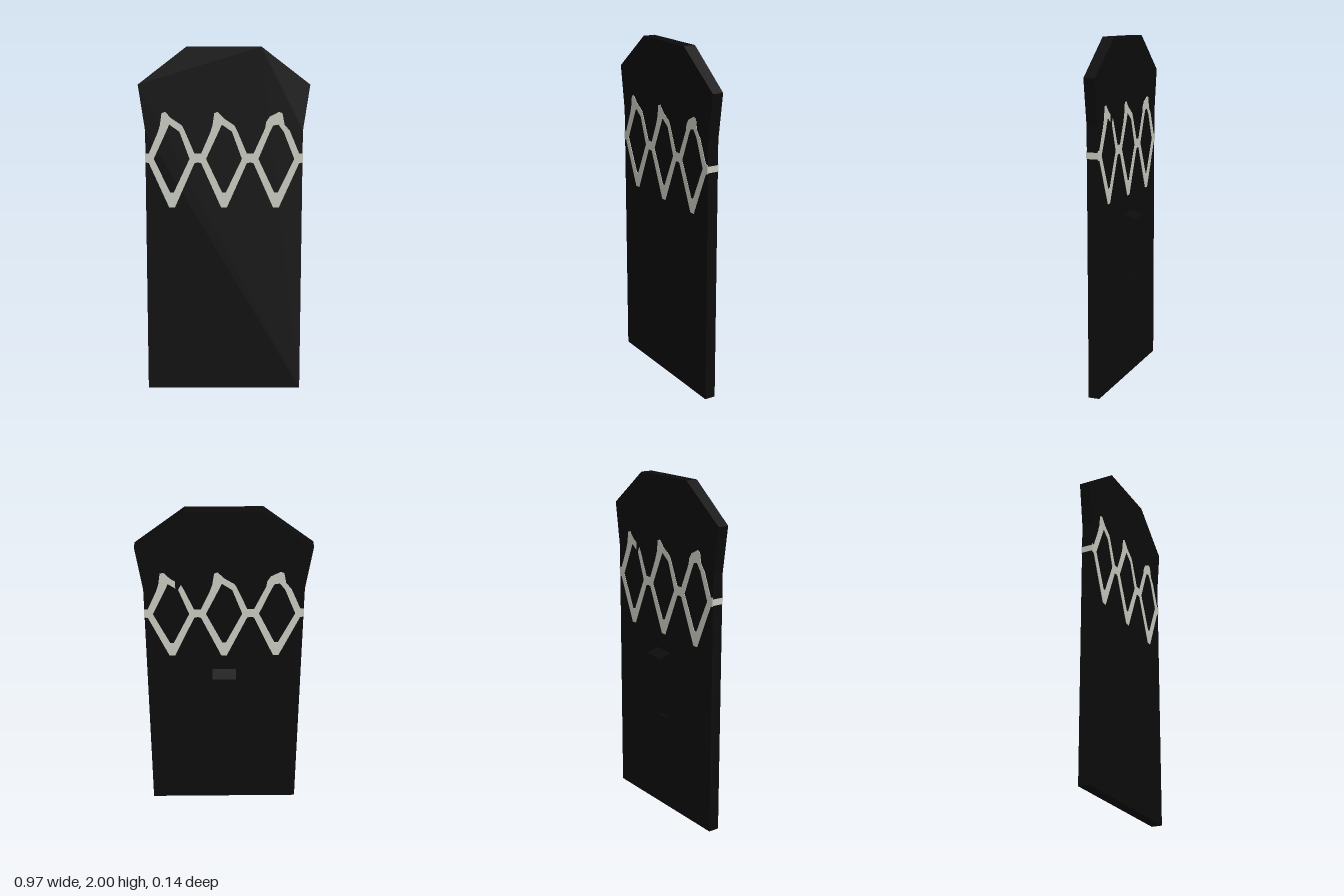
import * as THREE from 'three';

const black = new THREE.MeshStandardMaterial({ color: 0x0c0c0c });
black.name = 'black';
const blackOpen = black.clone();
blackOpen.side = THREE.DoubleSide;
const bone = new THREE.MeshStandardMaterial({ color: 0xc8cbc0 });
bone.name = 'bone';

const BACK = 0, FRONT = 0.064, PLATE = 0.003;
const points = (list) => list.map(([x, y]) => new THREE.Vector2(x, y));

function add(parent, name, geometry, material) {
  const mesh = new THREE.Mesh(geometry, material);
  mesh.name = name;
  parent.add(mesh);
  return mesh;
}

// Flat slab with flared shoulders, slightly thicker along the top edge
function slabGeometry() {
  const half = [[0.447, 0], [0.447, 1.53], [0.485, 1.79], [0.21, 2]];
  const outline = [...half, ...half.map(([x, y]) => [-x, y]).reverse()];
  const geo = new THREE.ExtrudeGeometry(new THREE.Shape(points(outline)),
    { depth: FRONT - BACK, bevelEnabled: false });
  const pos = geo.attributes.position;
  for (let i = 0; i < pos.count; i++) {
    if (pos.getY(i) > 1.9) pos.setZ(i, pos.getZ(i) > 0.03 ? FRONT + 0.003 : BACK - 0.004);
  }
  geo.computeVertexNormals();
  return geo;
}

// One open diamond of the painted band; the crown is its irregular upper edge
function diamondGeometry(crown, holeCrown) {
  const shape = new THREE.Shape(points([
    [-0.15, 1.35], [-0.13, 1.345], [-0.016, 1.088], [0.016, 1.088], [0.13, 1.345], [0.15, 1.35],
    [0.15, 1.4], [0.13, 1.4], ...crown, [-0.13, 1.4], [-0.15, 1.4],
  ]));
  shape.holes.push(new THREE.Path(points([
    [-0.102, 1.37], ...holeCrown, [0.102, 1.37], [0.01, 1.175], [-0.01, 1.175],
  ])));
  return new THREE.ExtrudeGeometry(shape, { depth: PLATE, bevelEnabled: false });
}

// Three diamonds, built facing +z
function diamondBand() {
  const band = new THREE.Group();
  const pointed = [
    [[0.075, 1.53], [0.06, 1.56], [0, 1.6], [-0.035, 1.637], [-0.055, 1.63], [-0.065, 1.56], [-0.08, 1.515]],
    [[-0.03, 1.525], [-0.012, 1.565], [0.045, 1.525]],
  ];
  const blunt = [
    [[0.075, 1.53], [0.045, 1.565], [0.032, 1.63], [0.012, 1.637], [-0.04, 1.61], [-0.06, 1.58], [-0.065, 1.545]],
    [[-0.035, 1.53], [-0.02, 1.56], [0.01, 1.565], [0.04, 1.525]],
  ];
  [[-0.298, pointed], [0, pointed], [0.298, blunt]].forEach(([x, [crown, hole]]) => {
    add(band, 'diamond', diamondGeometry(crown, hole), bone).position.x = x;
  });
  return band;
}

// Open-sided strap grip: a strip of three faces standing off the back
function gripGeometry() {
  const w = 0.069;
  const profile = [[0.99, 0], [0.965, -0.07], [0.615, -0.07], [0.59, 0]];
  const verts = [];
  for (let i = 0; i < 3; i++) {
    const [y0, z0] = profile[i], [y1, z1] = profile[i + 1];
    const a = [w, y0, z0], b = [-w, y0, z0], c = [-w, y1, z1], d = [w, y1, z1];
    verts.push(...a, ...d, ...b, ...b, ...d, ...c);
  }
  const geo = new THREE.BufferGeometry();
  geo.setAttribute('position', new THREE.Float32BufferAttribute(verts, 3));
  geo.computeVertexNormals();
  return geo;
}

export function createModel() {
  const model = new THREE.Group();
  model.name = 'towerShield';

  add(model, 'slab', slabGeometry(), black);
  add(model, 'grip', gripGeometry(), blackOpen);

  // Painted band on the front, turned half round for the back
  const frontBand = diamondBand();
  frontBand.name = 'frontBand';
  frontBand.position.z = FRONT;
  const backBand = diamondBand();
  backBand.name = 'backBand';
  backBand.rotation.y = Math.PI;
  backBand.position.z = BACK;
  model.add(frontBand, backBand);

  // Short painted links across both edges
  for (const side of [-1, 1]) {
    const link = add(model, 'edgeLink', new THREE.BoxGeometry(PLATE, 0.036, FRONT - BACK), bone);
    link.position.set(side * 0.4475, 1.373, (FRONT + BACK) / 2);
  }
  return model;
}
